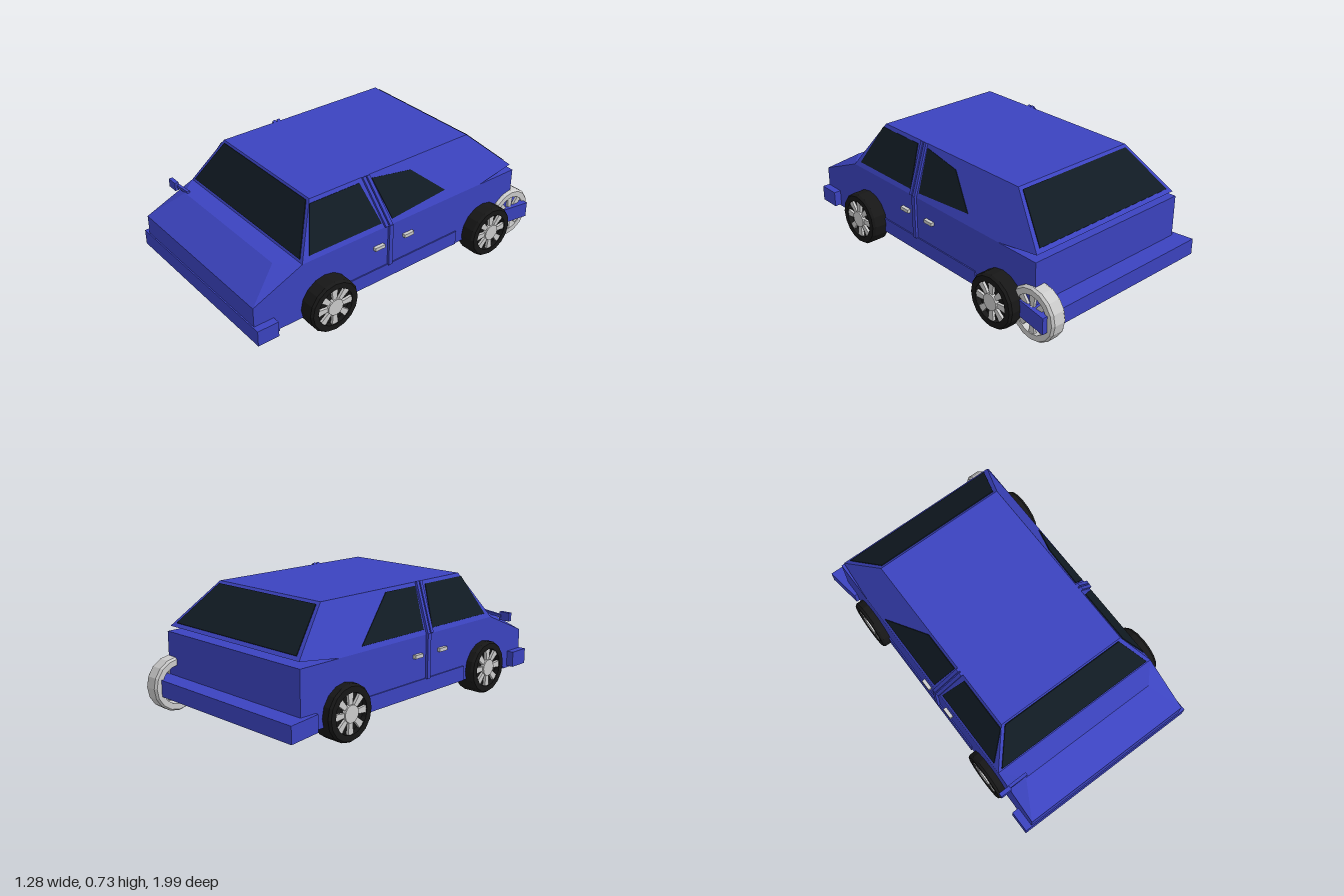
import * as THREE from 'three';
import { ConvexGeometry } from 'three/addons/geometries/ConvexGeometry.js';

const paint = (color) => new THREE.MeshStandardMaterial({ color, flatShading: true, side: THREE.DoubleSide });
const BLUE = paint(0x3b43bf), GLASS = paint(0x111b24), BLACK = paint(0x171717), GREY = paint(0xcccccc);

const V = (x, y, z) => new THREE.Vector3(x, y, z);

export function createModel() {
  const model = new THREE.Group();
  const car = new THREE.Group();
  car.name = 'car';
  car.rotation.y = -0.036;
  car.position.x = -0.006;
  model.add(car);

  function add(name, geometry, material, parent = car) {
    const mesh = new THREE.Mesh(geometry, material);
    mesh.name = name;
    parent.add(mesh);
    return mesh;
  }
  function box(name, material, [w, h, d], [x, y, z], parent = car) {
    const mesh = add(name, new THREE.BoxGeometry(w, h, d), material, parent);
    mesh.position.set(x, y, z);
    return mesh;
  }
  // Convex solid, given the points of its +x half
  function mirrored(name, half, material = BLUE) {
    const pts = half.flatMap(([x, y, z]) => [V(x, y, z), V(-x, y, z)]);
    return add(name, new ConvexGeometry(pts), material);
  }
  // Thin plate: a flat outline thickened along a normal
  function plate(name, outline, normal, thickness, material) {
    const n = normal.clone().normalize().multiplyScalar(thickness);
    const pts = outline.flatMap((p) => [p.clone().sub(n), p.clone().add(n)]);
    return add(name, new ConvexGeometry(pts), material);
  }

  // Lower body with sloping, chamfered hood
  mirrored('lowerBody', [
    [0.535, 0.12, 0.965], [0.535, 0.325, 0.965], [0.43, 0.455, 0.77], [0.535, 0.455, 0.66],
    [0.535, 0.455, -0.87], [0.535, 0.12, -0.87],
  ]);

  // Cabin, its tail raised slightly above the body
  mirrored('cabin', [
    [0.535, 0.455, 0.66], [0.4, 0.72, 0.51], [0.4, 0.72, -0.6],
    [0.519, 0.486, -0.86], [0.535, 0.455, -0.6],
  ]);

  // Windscreen and rear window
  plate('windscreen', [V(-0.507, 0.468, 0.653), V(0.507, 0.468, 0.653), V(0.383, 0.708, 0.517), V(-0.383, 0.708, 0.517)],
    V(0, 0.15, 0.265), 0.005, GLASS);
  plate('rearWindow', [V(-0.483, 0.503, -0.841), V(0.483, 0.503, -0.841), V(0.385, 0.706, -0.6155), V(-0.385, 0.706, -0.6155)],
    V(0, 0.26, -0.234), 0.005, GLASS);

  // Bumpers
  mirrored('frontBumper', [
    [0.578, 0.118, 0.972], [0.578, 0.21, 0.972], [0.578, 0.21, 0.845], [0.578, 0.118, 0.845],
  ]);
  box('frontValance', BLUE, [1.07, 0.03, 0.14], [0, 0.122, 0.88]);
  mirrored('rearBumper', [
    [0.586, 0.115, -0.977], [0.586, 0.21, -0.977], [0.555, 0.21, -0.77], [0.555, 0.115, -0.77],
  ]);

  // Side windows, pillars, sills and handles on both sides
  const rearOutline = {
    1: [[0.7, 0.11], [0.665, -0.15], [0.505, -0.34], [0.48, 0.056]],
    [-1]: [[0.7, 0.11], [0.7, -0.13], [0.48, -0.43], [0.48, 0.056]],
  };
  for (const s of [1, -1]) {
    const onSide = (pts) => pts.map(([y, z]) => V(s * (0.535 - (y - 0.455) * 0.5094), y, z));
    const normal = V(s * 0.265, 0.135, 0);
    plate('frontSideWindow', onSide([[0.48, 0.608], [0.7, 0.52], [0.7, 0.196], [0.48, 0.131]]), normal, 0.005, GLASS);
    plate('rearSideWindow', onSide(rearOutline[s]), normal, 0.005, GLASS);
    for (const shift of [0, 0.028]) {
      plate('doorPillar', onSide([[0.72, 0.123 + shift], [0.72, 0.143 + shift], [0.455, 0.088 + shift], [0.455, 0.068 + shift]]),
        normal, 0.014, BLUE);
    }
    box('doorPost', BLUE, [0.02, 0.255, 0.026], [s * 0.54, 0.3325, 0.08]);
    box('sill', BLUE, [0.02, 0.086, 0.83], [s * 0.532, 0.165, -0.01]);
    for (const z of [0.18, -0.028]) {
      box('doorHandle', GREY, [0.024, 0.02, 0.066], [s * 0.543, 0.35, z - 0.02 * s]);
    }
  }

  // Single wing mirror
  box('wingMirror', BLUE, [0.068, 0.05, 0.024], [-0.566, 0.446, 0.764]);
  box('mirrorArm', BLUE, [0.13, 0.016, 0.018], [-0.48, 0.452, 0.755]).rotation.z = 0.1;

  // Wheels: ring tyre, rim, hub and eight spokes; axle along x, outer face towards side s
  function wheel(name, s, [x, y, z], width, tyreColor, backed) {
    const g = new THREE.Group();
    g.name = name;
    g.position.set(x, y, z);
    car.add(g);
    const h = width / 2;
    const profile = [[0.112, -h], [0.145, -h], [0.155, -h + 0.014], [0.155, h - 0.014], [0.145, h], [0.112, h], [0.112, -h]];
    add('tyre', new THREE.LatheGeometry(profile.map(([r, t]) => new THREE.Vector2(r, t)), 16), tyreColor, g).rotation.z = -Math.PI / 2;
    const hub = add('hub', new THREE.CylinderGeometry(0.048, 0.048, 0.024, 16), GREY, g);
    hub.rotation.z = Math.PI / 2;
    hub.position.x = s * (h - 0.01);
    for (let i = 0; i < 8; i++) {
      const arm = new THREE.Group();
      arm.rotation.x = (i * Math.PI) / 4;
      g.add(arm);
      const spoke = add('spoke', new ConvexGeometry([-1, 1].flatMap((t) => [
        V(t * 0.008, 0.035, -0.011), V(t * 0.008, 0.035, 0.011), V(t * 0.008, 0.113, -0.02), V(t * 0.008, 0.113, 0.02),
      ])), GREY, arm);
      spoke.position.x = s * (h - 0.014);
    }
    if (backed) {
      const disc = add('wheelBacking', new THREE.CylinderGeometry(0.114, 0.114, width - 0.03, 16), BLACK, g);
      disc.rotation.z = Math.PI / 2;
      disc.position.x = -s * 0.014;
    }
  }
  wheel('frontLeftWheel', 1, [0.57, 0.174, 0.52], 0.115, BLACK, true);
  wheel('rearLeftWheel', 1, [0.559, 0.156, -0.635], 0.13, BLACK, true);
  wheel('frontRightWheel', -1, [-0.518, 0.17, 0.585], 0.135, BLACK, true);
  wheel('rearRightWheel', -1, [-0.521, 0.17, -0.57], 0.135, BLACK, true);
  wheel('spareWheel', 1, [0.508, 0.163, -0.863], 0.095, GREY, false);

  return model;
}
